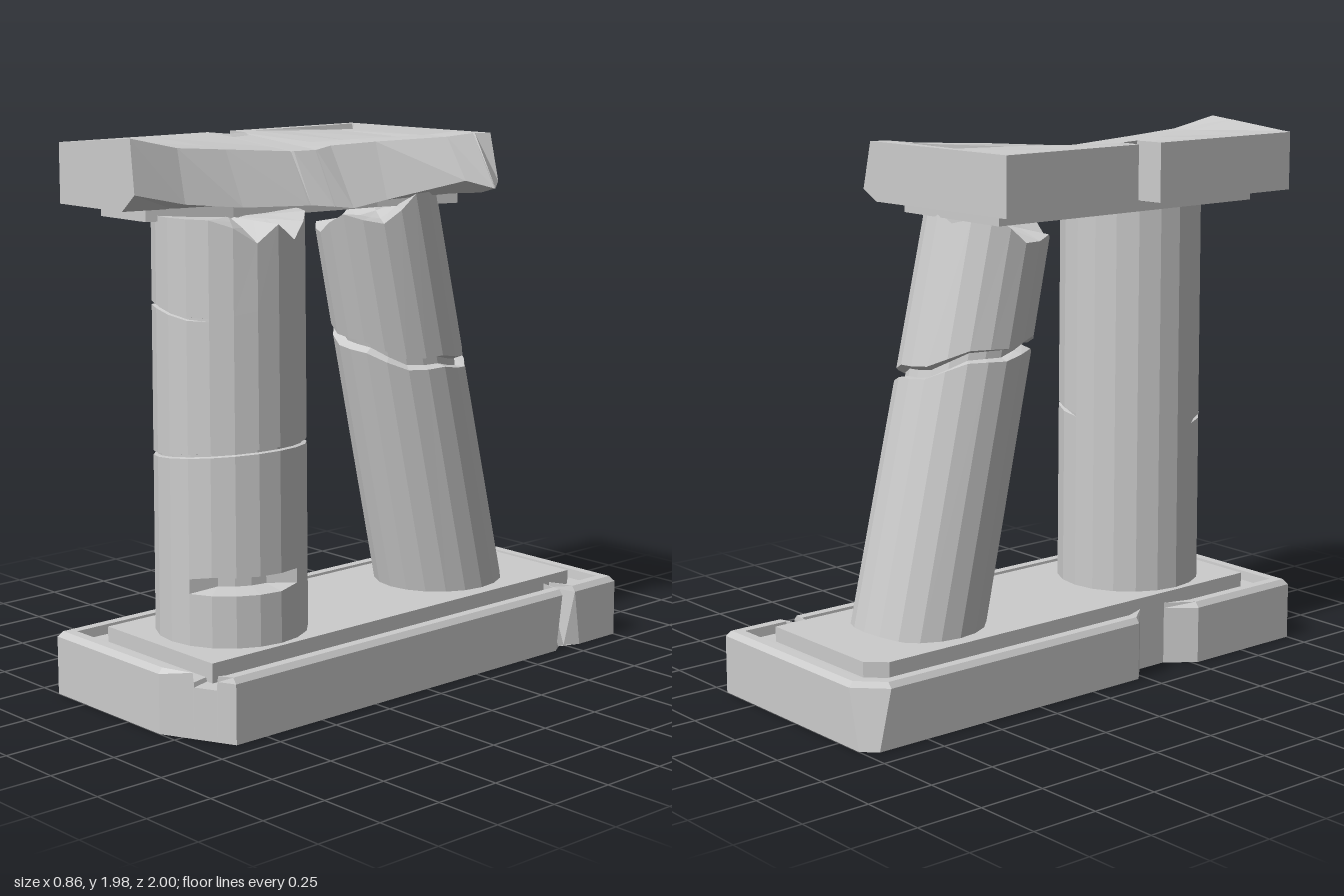
import * as THREE from 'three';

const stone = new THREE.MeshStandardMaterial({ color: 0xcccccc, flatShading: true, side: THREE.DoubleSide });

// Skins a list of rings (arrays of [x, y, z]) and closes both ends.
function loft(name, rings) {
  const pos = [];
  const tri = (a, b, c) => pos.push(...a, ...b, ...c);
  const n = rings[0].length;
  const middle = (ring) => [0, 1, 2].map((k) => ring.reduce((s, p) => s + p[k], 0) / n);
  const first = rings[0], last = rings[rings.length - 1];
  const c0 = middle(first), c1 = middle(last);
  for (let j = 0; j < n; j++) {
    const k = (j + 1) % n;
    for (let i = 0; i < rings.length - 1; i++) {
      const a = rings[i][j], b = rings[i][k], c = rings[i + 1][k], d = rings[i + 1][j];
      tri(a, b, c);
      tri(a, c, d);
    }
    tri(c0, first[k], first[j]);
    tri(c1, last[j], last[k]);
  }
  const geo = new THREE.BufferGeometry();
  geo.setAttribute('position', new THREE.Float32BufferAttribute(pos, 3));
  geo.computeVertexNormals();
  const mesh = new THREE.Mesh(geo, stone);
  mesh.name = name;
  return mesh;
}

// Twenty-sided shaft; each crack is a groove over an angle range, top(a) gives the broken rim.
function column(name, r0, r1, y0, y1, cracks, top) {
  const N = 20;
  const ring = (y, yOff, cut) => Array.from({ length: N }, (_, i) => {
    let a = (i / N) * Math.PI * 2;
    if (a > Math.PI + 0.01) a -= Math.PI * 2;
    const r = r0 + (r1 - r0) * (y - y0) / (y1 - y0) - cut(a);
    return [r * Math.cos(a), y + yOff(a), -r * Math.sin(a)];
  });
  const none = () => 0;
  const rings = [ring(y0, none, none)];
  for (const { y, half, depth, from, to, wave = none } of cracks) {
    const cut = (a) => (a >= from && a <= to ? depth : 0);
    rings.push(ring(y - half, wave, none), ring(y - half * 0.6, wave, cut),
      ring(y + half * 0.6, wave, cut), ring(y + half, wave, none));
  }
  rings.push(ring(y1, top, none));
  // broken upper surface, slightly hollow
  rings.push(ring(y1, (a) => top(a) * 0.4 - 0.01, () => r1 * 0.5));
  return loft(name, rings);
}

function createBase() {
  const g = new THREE.Group();
  g.name = 'base';
  // plan outline: [x, z, highest y]; notch and corner sizes change with height t
  const outline = (t) => {
    const d = 0.03 + 0.08 * t, w = 0.065 - 0.03 * t, c = 0.05 + 0.05 * t;
    return [
      [0.43, 0.88], [0.43, -0.74 + w], [0.43 - d, -0.72], [0.43 - d, -0.75], [0.43, -0.74 - w],
      [0.43, -1], [-0.41 + c, -1], [-0.41, -1 + c],
      [-0.41, 0.22], [-0.33, 0.3], [-0.33, 0.42], [-0.41, 0.52], [-0.41, 1], [0.17, 1],
      [0.285, 0.947], [0.29, 0.945, 0.18], [0.365, 0.91, 0.18], [0.37, 0.908],
    ];
  };
  const level = (y, t, inset) => outline(t).map(([x, z, top = 1]) => [
    THREE.MathUtils.clamp(x, -0.41 + inset, 0.43 - inset), Math.min(y, top),
    THREE.MathUtils.clamp(z, -1 + inset, 1 - inset)]);
  g.add(loft('plinth', [level(0, 0, 0), level(0.21, 1, 0), level(0.23, 1, 0.015),
    level(0.23, 1, 0.05), level(0.195, 1, 0.053)]));
  const slab = (y) => [[0.3, y, 0.875], [0.3, y, -0.875], [-0.22, y, -0.875], [-0.28, y, -0.81], [-0.28, y, 0.875]];
  g.add(loft('floorSlab', [slab(0.17), slab(0.25)]));
  return g;
}

function createLintel() {
  const g = new THREE.Group();
  g.name = 'lintel';
  // z, left x, right top x and y, right bottom x and y, depth of the sunk panel
  const sections = [
    [-0.44, -0.43, 0.27, 1.94, 0.31, 1.77, 0],
    [-0.4, -0.43, 0.245, 1.94, 0.35, 1.75, 0],
    [-0.395, -0.43, 0.24, 1.94, 0.35, 1.75, 0.02],
    [-0.3, -0.43, 0.205, 1.93, 0.3, 1.78, 0.018],
    [-0.05, -0.43, 0.1, 1.92, 0.16, 1.72, 0.008],
    [0.1, -0.43, 0.03, 1.91, 0.15, 1.7, 0],
    [0.175, -0.43, 0.04, 1.9, 0.14, 1.71, 0],
    [0.18, -0.34, 0.04, 1.9, 0.14, 1.71, 0],
    [0.27, -0.32, 0.03, 1.9, 0.12, 1.72, 0],
    [0.28, -0.43, 0.025, 1.9, 0.12, 1.72, 0],
    [0.55, -0.43, 0, 1.92, 0.09, 1.73, 0],
    [0.75, -0.43, -0.01, 1.935, 0.03, 1.75, 0],
    [0.93, -0.43, -0.03, 1.975, -0.01, 1.79, 0],
  ];
  g.add(loft('lintelBlock', sections.map(([z, xl, xt, yt, xb, yb, d], i) => {
    const topY = (x) => 1.94 + (yt - 1.94) * (x + 0.43) / (xt + 0.43);
    const pl = Math.max(-0.4, xl + 0.02), pr = xt - 0.1;
    return [[xl, 1.73], [xb - 0.07, Math.min(1.73, yb)], [xb, yb], [xt, yt], [pr, topY(pr)],
      [pr - 0.005, topY(pr) - d], [pl + 0.005, topY(pl) - d], [pl, topY(pl)], [xl, 1.94]]
      .map(([x, y]) => [x, y, i ? z : z - 0.05 * x]);
  })));
  // narrower band under the block
  const under = [[-0.36, 0.2], [-0.05, 0.11], [0.3, 0.07], [0.55, 0.04], [0.84, -0.07]];
  g.add(loft('lintelUnderside', under.map(([z, x]) => [
    [-0.32, 1.69, z], [x, 1.69, z], [x, 1.76, z], [-0.32, 1.76, z]])));
  return g;
}

export function createModel() {
  const model = new THREE.Group();
  model.name = 'ruinedColumns';
  model.add(createBase(), createLintel());

  // upright column, chipped on its right side at the top
  const front = column('frontColumn', 0.268, 0.262, 0.22, 1.71, [
    { y: 0.465, half: 0.032, depth: 0.08, from: -1, to: 0.05 },
    { y: 0.9, half: 0.007, depth: 0.015, from: -2.6, to: 1.3, wave: (a) => 0.03 * Math.cos(a) },
    { y: 1.39, half: 0.006, depth: 0.012, from: -2.3, to: -1.2, wave: (a) => 0.015 * Math.cos(a * 3) },
  ], (a) => (Math.abs(a) < 0.7 ? -0.05 + 0.03 * Math.cos(a * 9) : 0));
  front.position.set(0.01, 0, 0.55);

  // leaning column, cracked in the middle with a jagged head
  const back = column('leaningColumn', 0.238, 0.226, -0.04, 1.46, [
    { y: 0.95, half: 0.022, depth: 0.035, from: -3.2, to: 3.2,
      wave: (a) => -0.07 * Math.sin(a) - 0.06 * Math.cos(a) + 0.012 * Math.cos(a * 5) },
  ], (a) => 0.045 * Math.cos(a) + 0.025 * Math.cos(a * 5) + 0.015 * Math.sin(a * 3));
  back.position.set(0.01, 0.25, -0.46);
  back.rotation.x = 0.225;

  model.add(front, back);
  return model;
}
